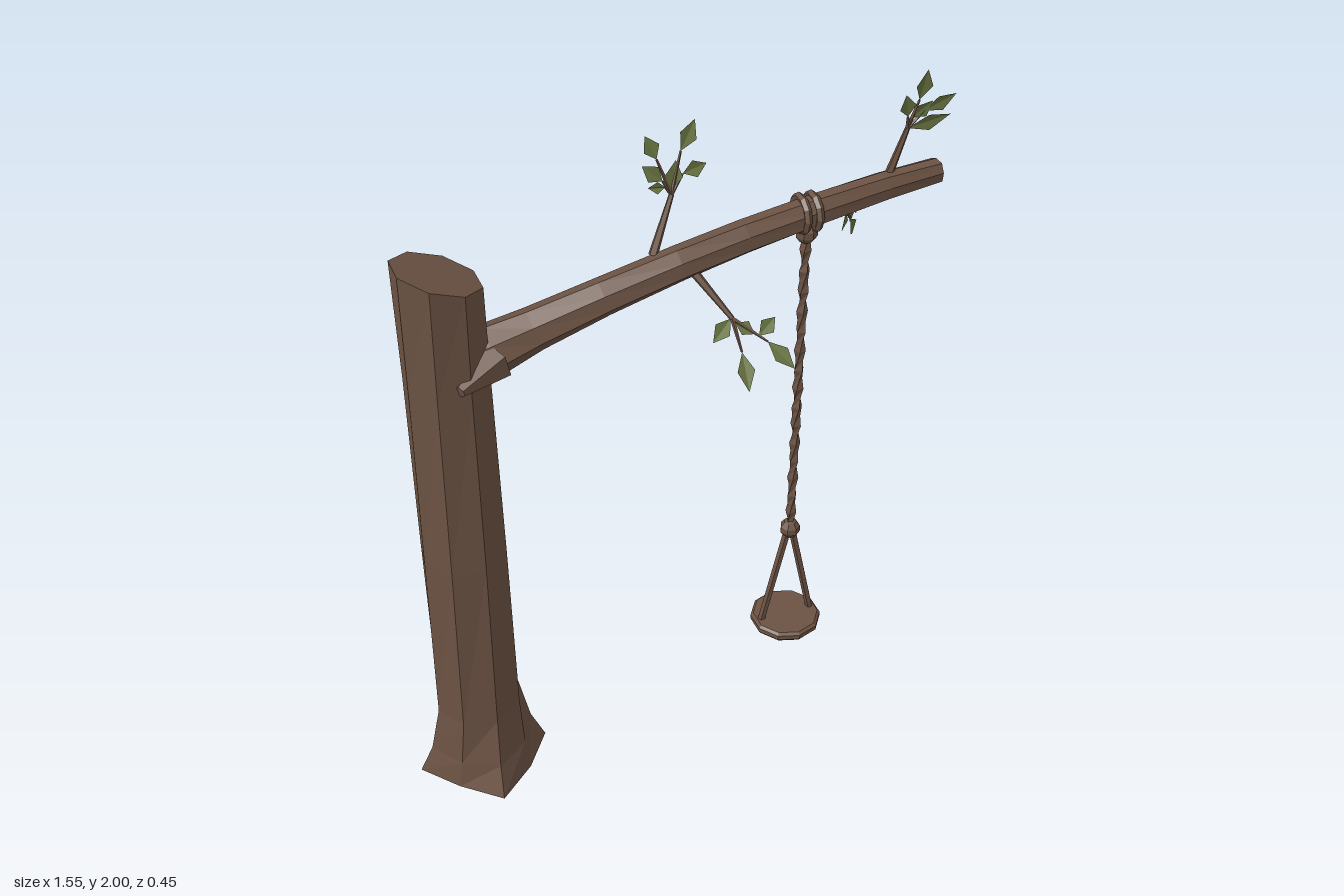
import * as THREE from 'three';
import { mergeGeometries } from 'three/addons/utils/BufferGeometryUtils.js';

const V = (x, y, z) => new THREE.Vector3(x, y, z);

// Faceted tube through rings of points; radius(i, j) gives each corner's distance.
function loft(points, sides, radius, { ref = V(0, 0, -1), twist = () => 0 } = {}) {
  const rings = points.map((p, i) => {
    const t = points[Math.min(i + 1, points.length - 1)].clone()
      .sub(points[Math.max(i - 1, 0)]).normalize();
    const u = ref.clone().cross(t).normalize();
    const v = t.clone().cross(u);
    return Array.from({ length: sides }, (_, j) => {
      const a = (j / sides) * Math.PI * 2 + twist(i);
      const r = radius(i, j);
      return p.clone().addScaledVector(u, Math.cos(a) * r).addScaledVector(v, Math.sin(a) * r);
    });
  });
  const out = [];
  const tri = (...c) => c.forEach((p) => out.push(p.x, p.y, p.z));
  const last = rings.length - 1;
  for (let j = 0; j < sides; j++) {
    const k = (j + 1) % sides;
    for (let i = 0; i < last; i++) {
      tri(rings[i][j], rings[i][k], rings[i + 1][k]);
      tri(rings[i][j], rings[i + 1][k], rings[i + 1][j]);
    }
    tri(points[0], rings[0][k], rings[0][j]);
    tri(points[last], rings[last][j], rings[last][k]);
  }
  return fromPositions(out);
}

function fromPositions(list) {
  const g = new THREE.BufferGeometry();
  g.setAttribute('position', new THREE.Float32BufferAttribute(list, 3));
  g.computeVertexNormals();
  return g;
}

// Straight tapered stick
const stick = (a, b, r0, r1, sides = 5) =>
  loft([a, b], sides, (i) => (i ? r1 : r0), { ref: V(0.3, 0.1, -1) });

// Twisted cord with alternating thick and thin rings
function cord(a, b, steps) {
  const pts = Array.from({ length: steps + 1 }, (_, i) => a.clone().lerp(b, i / steps));
  return loft(pts, 4, (i) => (i % 2 ? 0.011 : 0.016), { twist: (i) => i * 0.45 });
}

// Each sprig lies in a sloping plane: z = root.z + a * dx + b * dy.
// Leaves are [baseX, baseY, tipX, tipY] as seen from the front.
const SPRIGS = [
  { name: 'upperInnerSprig', root: [-0.04, 1.6, -0.02], fork: [0.025, 1.74], a: 0, b: -0.27,
    leaves: [[-0.005, 1.83, -0.03, 1.89], [0.005, 1.775, -0.045, 1.82], [0.01, 1.76, -0.035, 1.765],
      [0.06, 1.84, 0.105, 1.91], [0.06, 1.785, 0.125, 1.8], [0.025, 1.75, 0.045, 1.82]] },
  { name: 'upperOuterSprig', root: [0.615, 1.68, -0.03], fork: [0.65, 1.83], a: 0, b: 0.15,
    leaves: [[0.645, 1.865, 0.63, 1.93], [0.67, 1.91, 0.68, 1.995], [0.65, 1.83, 0.77, 1.85],
      [0.69, 1.875, 0.775, 1.91], [0.655, 1.86, 0.71, 1.9]] },
  { name: 'lowerInnerSprig', root: [0.05, 1.56, 0.02], fork: [0.125, 1.45], a: 0, b: -0.8,
    leaves: [[0.12, 1.45, 0.06, 1.41], [0.13, 1.38, 0.125, 1.3], [0.13, 1.44, 0.175, 1.41],
      [0.185, 1.405, 0.24, 1.435], [0.205, 1.39, 0.26, 1.325]] },
  { name: 'lowerOuterSprig', root: [0.48, 1.625, -0.04], fork: [0.55, 1.555], a: -1, b: 0.1,
    leaves: [[0.55, 1.555, 0.535, 1.5], [0.57, 1.55, 0.63, 1.565], [0.585, 1.54, 0.645, 1.515],
      [0.59, 1.5, 0.615, 1.43], [0.575, 1.54, 0.59, 1.49]] },
];

export function createModel() {
  const mat = (name, color, extra = {}) => {
    const m = new THREE.MeshStandardMaterial({ color, flatShading: true, ...extra });
    m.name = name;
    return m;
  };
  const wood = mat('brown wood', 0x6b5243);
  const leafGreen = mat('leaf green', 0x687440, { side: THREE.DoubleSide });

  const model = new THREE.Group();
  model.name = 'treeSwing';
  const add = (name, geometry, material = wood, parent = model) => {
    const m = new THREE.Mesh(geometry, material);
    m.name = name;
    parent.add(m);
    return m;
  };

  // Trunk: flared, uneven roots and a slanted cut on top
  const roots = [0.19, 0.17, 0.19, 0.155, 0.195, 0.15, 0.2, 0.155];
  const trunkRings = [[0, 0], [0.09, 0.147], [0.24, 0.126], [0.8, 0.12], [1.35, 0.113], [1.66, 0.112]];
  const trunk = loft(
    trunkRings.map(([y], i) => V(-0.585 - 0.0015 * i, y, -0.032)), 8,
    (i, j) => (i === 0 ? roots[j] : trunkRings[i][1] + (i === 1 ? (roots[j] - 0.175) * 0.4 : 0)),
    { twist: (i) => [0, 0.06, 0.16, 0.25, 0.32, 0.39][i] });
  const pos = trunk.attributes.position;
  for (let i = 0; i < pos.count; i++) {
    if (pos.getY(i) > 1.6) pos.setY(i, 1.66 - 0.35 * (pos.getX(i) + 0.59));
  }
  trunk.computeVertexNormals();
  add('trunk', trunk);
  add('trunkKnot', stick(V(-0.585, 1.385, 0.078), V(-0.48, 1.41, 0.01), 0.016, 0.06, 6));

  // Main branch, arching out and tapering
  const branchPath = [
    [-0.56, 1.385, -0.03, 0.085], [-0.47, 1.42, -0.025, 0.072], [-0.36, 1.458, -0.02, 0.06],
    [-0.18, 1.52, -0.005, 0.052], [0.02, 1.577, 0.003, 0.048], [0.2, 1.615, 0, 0.046],
    [0.4, 1.648, -0.005, 0.044], [0.6, 1.67, -0.018, 0.039], [0.765, 1.677, -0.034, 0.034]];
  add('branch', loft(branchPath.map(([x, y, z]) => V(x, y, z)), 8,
    (i, j) => branchPath[i][3] * (j % 2 ? 0.96 : 1.04), { twist: (i) => i * 0.08 }));

  // Sprigs of twigs and folded, diamond-shaped leaves
  for (const { name, root, fork, a, b, leaves } of SPRIGS) {
    const sprig = new THREE.Group();
    sprig.name = name;
    model.add(sprig);
    const at = (x, y) => V(x, y, root[2] + a * (x - root[0]) + b * (y - root[1]));
    const normal = V(-a, -b, 1).normalize();
    const forkPoint = at(...fork);
    const twigs = [stick(V(...root), forkPoint, 0.013, 0.007)];
    const faces = [];
    for (const [bx, by, tx, ty] of leaves) {
      const base = at(bx, by), tip = at(tx, ty);
      if (base.distanceTo(forkPoint) > 0.005) twigs.push(stick(forkPoint, base, 0.006, 0.003, 4));
      const along = tip.clone().sub(base);
      const side = normal.clone().cross(along).normalize()
        .multiplyScalar(Math.min(0.024, along.length() * 0.34));
      const mid = base.clone().addScaledVector(along, 0.48).addScaledVector(normal, 0.006);
      const l = mid.clone().add(side), r = mid.clone().sub(side);
      for (const p of [base, tip, l, base, r, tip]) faces.push(p.x, p.y, p.z);
    }
    add('twigs', mergeGeometries(twigs), wood, sprig);
    add('leaves', fromPositions(faces), leafGreen, sprig);
  }

  // Swing: wraps over the branch, twisted rope, knots and sling
  const swing = new THREE.Group();
  swing.name = 'swing';
  model.add(swing);
  const cx = 0.376;
  for (const dx of [-0.017, 0.017]) {
    const wrap = add('ropeWrap', new THREE.TorusGeometry(0.046, 0.011, 5, 10), wood, swing);
    wrap.rotation.y = Math.PI / 2;
    wrap.position.set(cx + dx, 1.645, -0.004);
  }
  add('rope', cord(V(cx, 0.6, 0), V(cx, 1.6, 0), 32), wood, swing);
  for (const y of [0.6, 1.59]) {
    const knot = add('knot', new THREE.SphereGeometry(0.031, 7, 5), wood, swing);
    knot.position.set(cx, y, 0);
  }
  for (const s of [-1, 1]) {
    add('slingRope', stick(V(cx + s * 0.006, 0.6, 0), V(cx + s * 0.083, 0.25, 0), 0.011, 0.011), wood, swing);
    add('slingUnderside', stick(V(cx + s * 0.083, 0.255, 0), V(cx + s * 0.045, 0.216, 0), 0.01, 0.01), wood, swing);
  }
  add('slingBottom', stick(V(cx - 0.05, 0.216, 0), V(cx + 0.05, 0.216, 0), 0.01, 0.01), wood, swing);

  // Round plank seat with a bevelled rim
  const seat = add('seat', new THREE.LatheGeometry(
    [[0, -0.016], [0.098, -0.016], [0.106, -0.006], [0.106, 0.008], [0.098, 0.016], [0, 0.016]]
      .map(([r, y]) => new THREE.Vector2(r, y)), 10), wood, swing);
  seat.position.set(cx, 0.252, 0);

  return model;
}
